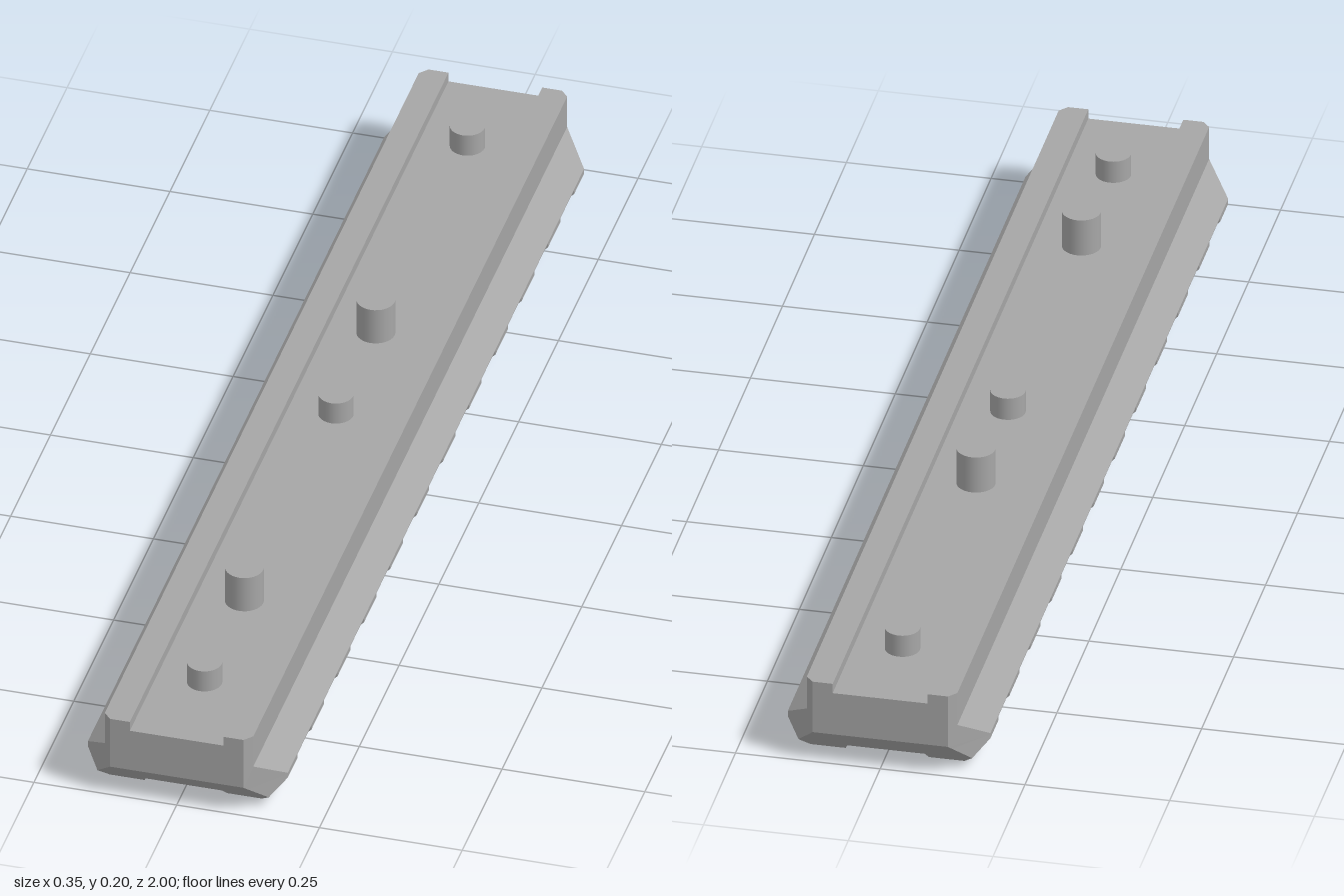
import * as THREE from 'three';
import { ConvexGeometry } from 'three/addons/geometries/ConvexGeometry.js';

export function createModel() {
  const model = new THREE.Group();
  model.name = 'slottedRail';
  const metal = new THREE.MeshStandardMaterial({ color: 0xa6a6a6 });
  metal.name = 'grey metal';

  const add = (name, geometry, parent = model) => {
    const mesh = new THREE.Mesh(geometry, metal);
    mesh.name = name;
    parent.add(mesh);
    return mesh;
  };
  // Convex block from corner points, mirrored along the chosen axes
  const hull = (points, mirrorX, mirrorZ) => {
    const all = [];
    for (const [x, y, z] of points)
      for (const sx of mirrorX) for (const sz of mirrorZ)
        all.push(new THREE.Vector3(x * sx, y, z * sz));
    return new ConvexGeometry(all);
  };
  const both = [1, -1];

  // Flared lower body with bevelled ends
  const slotTop = 0.05;
  add('flaredBody', hull([
    [0.117, 0.093, 1], [0.13, 0.093, 0.985], [0.175, 0.052, 0.93],
    [0.175, slotTop, 0.93], [0.117, 0.057, 1], [0.1226, slotTop, 0.993],
  ], both, both));

  // Straight upper body
  add('upperBody', hull([
    [0.117, 0.137, 1], [0.13, 0.137, 0.985], [0.117, 0.093, 1], [0.13, 0.093, 0.985],
  ], both, both));

  // Lips either side of the shallow channel
  for (const s of both) {
    const lip = [];
    for (const y of [0.137, 0.155]) lip.push([0.082, y, 1], [0.117, y, 1], [0.13, y, 0.985]);
    add(s > 0 ? 'leftLip' : 'rightLip', hull(lip, [s], both));
  }

  // Pins standing in the channel: z, radius, top height
  const pins = [[0.825, 0.03, 0.178], [0.575, 0.033, 0.205], [0, 0.03, 0.178],
    [-0.25, 0.033, 0.205], [-0.825, 0.03, 0.178]];
  for (const [z, r, top] of pins) {
    const h = top - 0.13;
    add('pin', new THREE.CylinderGeometry(r, r, h, 32)).position.set(0, 0.13 + h / 2, z);
  }

  // Middle of a tooth, with round screw recesses cut into its edges
  const boreR = 0.075, slotHalf = 0.0425;
  const a = Math.asin(slotHalf / boreR), chord = boreR * Math.cos(a);
  const webGeometry = (z0, z1, bite) => {
    const w = 0.067, shape = new THREE.Shape();
    shape.moveTo(-w, z0);
    if (bite === 'inner') {
      shape.lineTo(-chord, z0);
      shape.absarc(0, z0 - slotHalf, boreR, Math.PI - a, a, true);
    }
    shape.lineTo(w, z0);
    shape.lineTo(w, z1);
    if (bite === 'outer') {
      shape.lineTo(chord, z1);
      shape.absarc(0, z1 + slotHalf, boreR, -a, a - Math.PI, true);
    }
    shape.lineTo(-w, z1);
    const g = new THREE.ExtrudeGeometry(shape, { depth: slotTop - 0.013, bevelEnabled: false, curveSegments: 16 });
    return g.rotateX(Math.PI / 2).translate(0, slotTop, 0);
  };

  // Teeth: six on each half, the outermost bevelled with the rail end
  const profile = [[0.067, slotTop], [0.175, slotTop], [0.175, 0.042], [0.133, 0], [0.072, 0], [0.067, 0.013]];
  const bites = { 0: 'inner', 4: 'outer', 5: 'inner' };
  for (const side of both) {
    const half = new THREE.Group();
    half.name = side > 0 ? 'frontTeeth' : 'backTeeth';
    if (side < 0) half.rotation.y = Math.PI;
    for (let i = 0; i < 6; i++) {
      const c = 0.0825 + i * 0.165, z0 = c - 0.04, z1 = c + 0.04, last = i === 5;
      const corners = profile.map(([x, y]) => [x, y, z0]);
      if (last) {
        corners.push([0.067, slotTop, 0.993], [0.1226, slotTop, 0.993], [0.175, slotTop, 0.93],
          [0.175, 0.042, 0.93], [0.15, 0.017, 0.96], [0.133, 0, 0.943], [0.072, 0, 0.943], [0.067, 0.013, 0.956]);
      } else {
        corners.push(...profile.map(([x, y]) => [x, y, z1]));
      }
      for (const s of both) add('toothSide', hull(corners, [s], [1]), half);

      const web = webGeometry(z0, z1, bites[i]);
      if (last) {
        // Slope the outer face to follow the end bevel
        const p = web.attributes.position;
        for (let k = 0; k < p.count; k++)
          if (p.getZ(k) > z1 - 0.001) p.setZ(k, 0.943 + p.getY(k));
        web.computeVertexNormals();
      }
      add('toothMiddle', web, half);
    }
    model.add(half);
  }
  return model;
}
